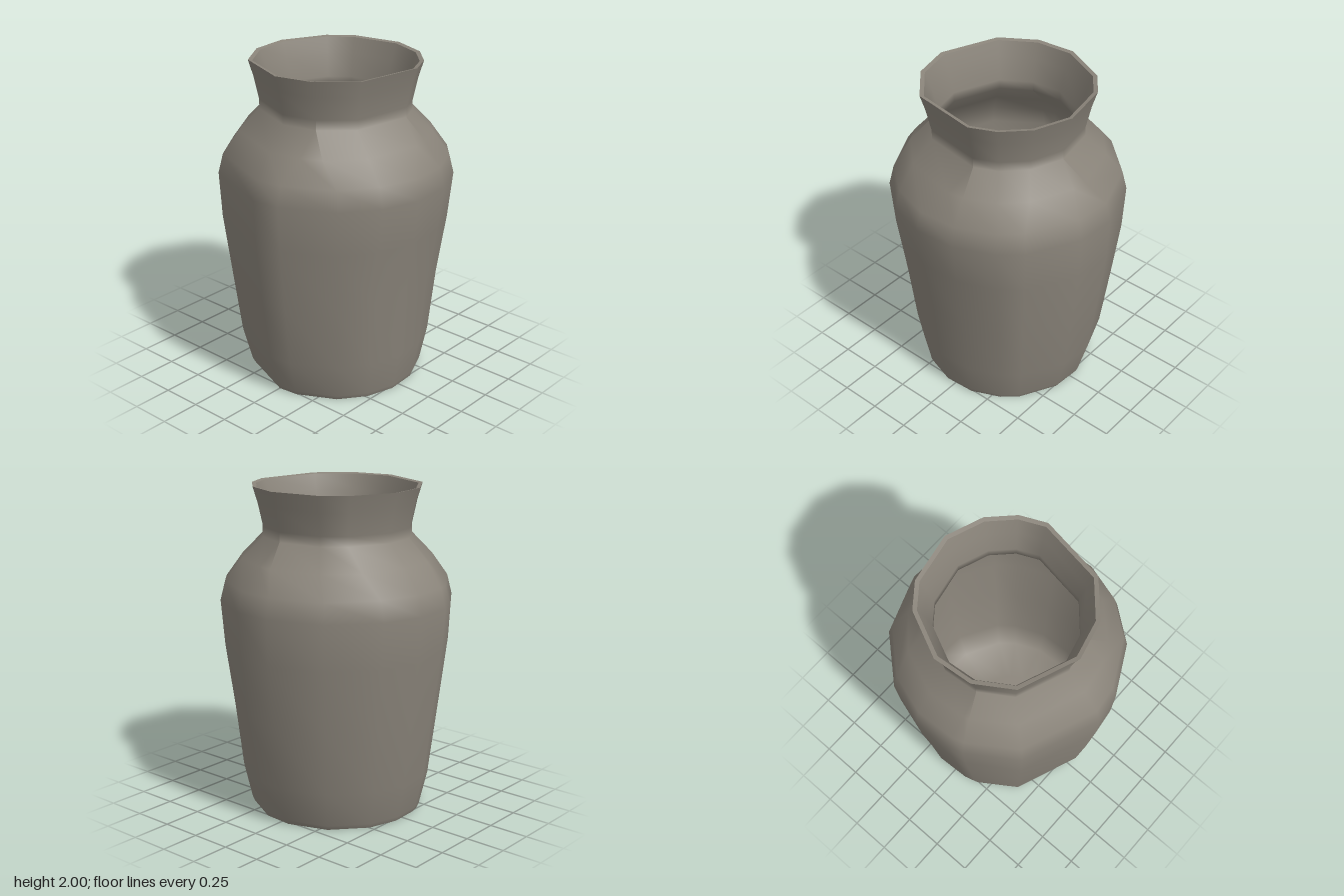
import * as THREE from 'three';
import { mergeVertices } from 'three/addons/utils/BufferGeometryUtils.js';

// Uneven facet directions (degrees from the front towards +x) of the body and of the neck
const BODY = [0, 14, 42, 63, 83, 104, 125, 138, 166, 186, 214, 242, 263, 283, 290, 318];
const NECK = [0, 27, 27, 57, 105, 105, 124, 146, 173, 173, 208, 228, 262, 289, 289, 317];
const N = BODY.length;

// Irregular lathe: facets turn from the body directions to the neck directions over the shoulder,
// and the belly is flatter on the sides, most on the left
function turned(profile) {
  const points = profile.map(([r, y]) => new THREE.Vector2(r, y));
  const geo = new THREE.LatheGeometry(points, N);
  const pos = geo.attributes.position;
  for (let i = 0; i <= N; i++) {
    profile.forEach(([r, y], j) => {
      const t = THREE.MathUtils.smoothstep(y, 1.4, 1.72);
      const k = i % N;
      const a = THREE.MathUtils.degToRad(THREE.MathUtils.lerp(BODY[k], NECK[k], t));
      const side = Math.sin(a) ** 2 * (Math.sin(a) > 0 ? 1 : 0.4);
      const bulge = y < 1.31 ? 0.045 * Math.sin((Math.PI * y) / 1.31) : 0;
      const radius = r - bulge * side;
      pos.setXYZ(i * profile.length + j, radius * Math.sin(a), y, radius * Math.cos(a));
    });
  }
  geo.deleteAttribute('uv');
  geo.deleteAttribute('normal');
  const merged = mergeVertices(geo, 1e-4);
  merged.computeVertexNormals();
  return merged;
}

export function createModel() {
  const group = new THREE.Group();
  const clay = new THREE.MeshStandardMaterial({ color: 0x8a847a });
  clay.name = 'grey clay';
  const add = (name, profile) => {
    const mesh = new THREE.Mesh(turned(profile), clay);
    mesh.name = name;
    group.add(mesh);
  };

  // Outer wall: tapered body, rounded shoulder, flared neck
  add('outerWall', [
    [0.525, 0], [0.54, 0.03], [0.6, 0.25], [0.655, 0.65], [0.7, 1.03], [0.71, 1.31],
    [0.68, 1.43], [0.58, 1.57], [0.455, 1.7], [0.455, 1.76], [0.485, 1.9], [0.515, 2],
  ]);
  // Thin lip
  add('rim', [[0.515, 2], [0.49, 1.995]]);
  // Hollow inside, running smoothly into the floor
  add('interior', [
    [0.49, 1.995], [0.455, 1.9], [0.42, 1.76], [0.42, 1.7], [0.55, 1.56], [0.65, 1.42],
    [0.68, 1.3], [0.67, 1.03], [0.625, 0.65], [0.57, 0.25], [0.5, 0.06], [0.25, 0.05], [0, 0.05],
  ]);
  // Slightly hollowed underside with a narrow foot ring
  add('base', [[0, 0.03], [0.45, 0.025], [0.49, 0], [0.525, 0]]);
  return group;
}
